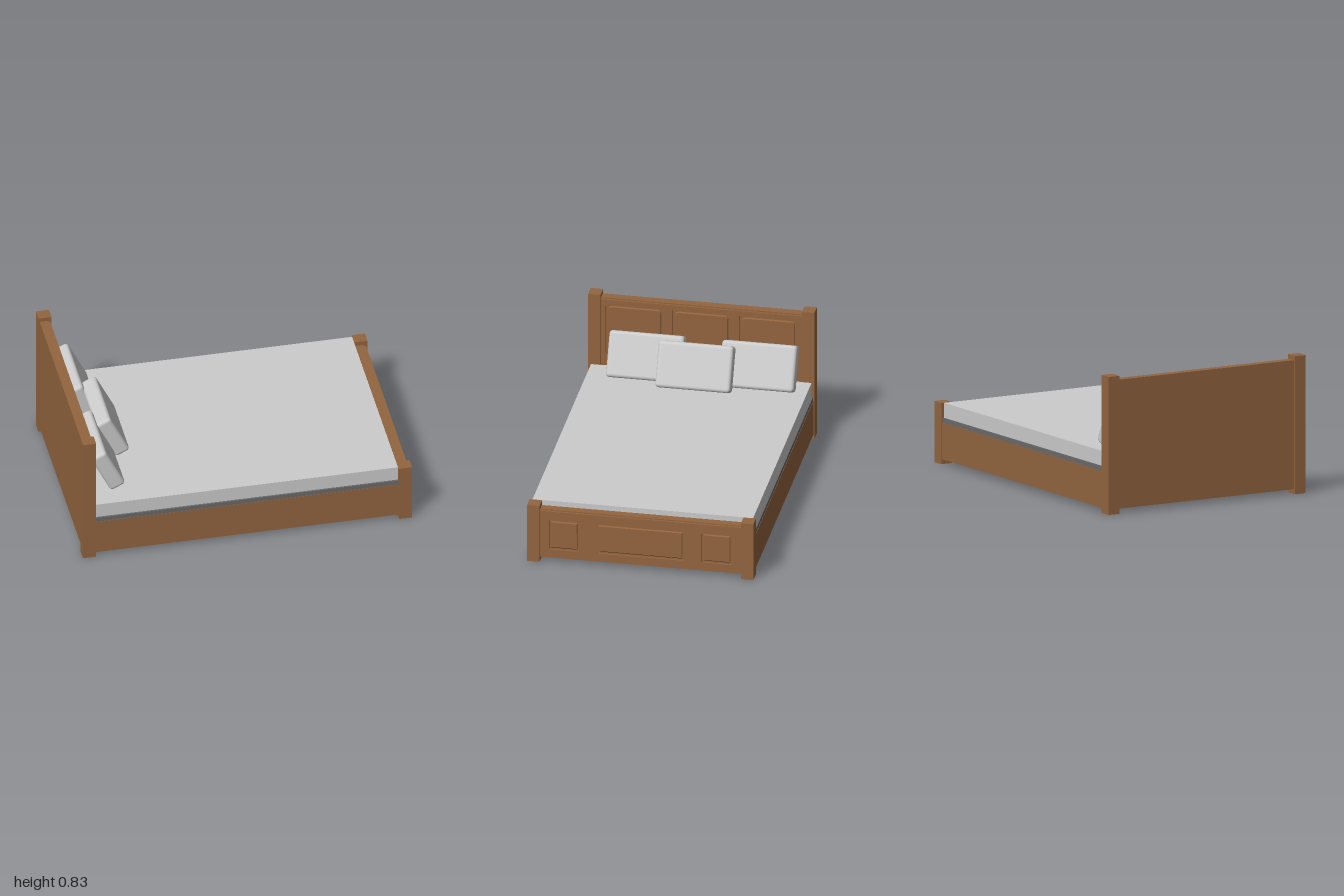
import * as THREE from 'three';
import { RoundedBoxGeometry } from 'three/addons/geometries/RoundedBoxGeometry.js';

const wood = new THREE.MeshStandardMaterial({ color: 0x93653f });
const fabric = new THREE.MeshStandardMaterial({ color: 0xcccccc });
const darkBase = new THREE.MeshStandardMaterial({ color: 0x6a6a6a });

function add(parent, name, geometry, material) {
  const mesh = new THREE.Mesh(geometry, material);
  mesh.name = name;
  parent.add(mesh);
  return mesh;
}

// Box given by its minimum and maximum on each axis
function box(parent, name, material, [x0, x1], [y0, y1], [z0, z1]) {
  const mesh = add(parent, name, new THREE.BoxGeometry(x1 - x0, y1 - y0, z1 - z0), material);
  mesh.position.set((x0 + x1) / 2, (y0 + y1) / 2, (z0 + z1) / 2);
  return mesh;
}

// Rounded rectangle drawn on either a Shape or a Path
function roundRect(path, u0, u1, v0, v1, r) {
  path.moveTo(u0 + r, v0);
  path.lineTo(u1 - r, v0);
  path.quadraticCurveTo(u1, v0, u1, v0 + r);
  path.lineTo(u1, v1 - r);
  path.quadraticCurveTo(u1, v1, u1 - r, v1);
  path.lineTo(u0 + r, v1);
  path.quadraticCurveTo(u0, v1, u0, v1 - r);
  path.lineTo(u0, v0 + r);
  path.quadraticCurveTo(u0, v0, u0 + r, v0);
  return path;
}

// Panelled board facing +x: backing, frame with openings, raised bevelled fields
function panelledBoard(name, x0, x1, top, panels, v0, v1, inset, radius) {
  const group = new THREE.Group();
  group.name = name;
  const relief = 0.012;
  const half = 0.612;
  const bottom = 0.03;
  box(group, name + 'Backing', wood, [x0, x1 - relief], [bottom, top], [-half, half]);

  const frame = new THREE.Shape();
  frame.moveTo(-half, bottom);
  frame.lineTo(half, bottom);
  frame.lineTo(half, top - 0.008);
  frame.lineTo(-half, top - 0.008);
  for (const [u0, u1] of panels) {
    frame.holes.push(roundRect(new THREE.Path(), u0, u1, v0, v1, 0.012));
  }
  const frameGeometry = new THREE.ExtrudeGeometry(frame, { depth: relief, bevelEnabled: false, curveSegments: 4 });
  add(group, name + 'Frame', frameGeometry.rotateY(Math.PI / 2), wood).position.x = x1 - relief;

  for (const [u0, u1] of panels) {
    const field = roundRect(new THREE.Shape(), u0 + inset, u1 - inset, v0 + inset, v1 - inset, radius);
    const geometry = new THREE.ExtrudeGeometry(field, {
      depth: 0.002, bevelThickness: 0.006, bevelSize: 0.006, bevelOffset: -0.006,
      bevelSegments: 1, curveSegments: 4,
    });
    add(group, name + 'Panel', geometry.rotateY(Math.PI / 2), wood).position.x = x1 - relief + 0.004;
  }
  return group;
}

// Plump cushion: rounded box thinning slightly toward its rim
function pillow(name, x, y, z) {
  const w = 0.1, h = 0.28, d = 0.455;
  const geometry = new RoundedBoxGeometry(w, h, d, 4, 0.022);
  const mesh = new THREE.Mesh(geometry, fabric);
  mesh.name = name;
  mesh.position.set(x, y, z);
  mesh.rotation.z = 0.46;
  return mesh;
}

export function createModel() {
  const bed = new THREE.Group();
  bed.name = 'bed';

  // Corner posts and side rails
  for (const s of [-1, 1]) {
    const z = [s * 0.61, s * 0.685].sort((a, b) => a - b);
    box(bed, 'headPost', wood, [-1, -0.92], [0, 0.835], z);
    box(bed, 'footPost', wood, [0.92, 1], [0, 0.37], z);
    const railZ = [s * 0.645, s * 0.68].sort((a, b) => a - b);
    box(bed, 'sideRail', wood, [-0.925, 0.925], [0.03, 0.252], railZ);
  }

  // Headboard and footboard
  bed.add(panelledBoard('headboard', -0.992, -0.928, 0.81,
    [[-0.58, -0.23], [-0.175, 0.175], [0.23, 0.58]], 0.44, 0.775, 0.014, 0.025));
  bed.add(panelledBoard('footboard', 0.928, 0.99, 0.342,
    [[-0.555, -0.37], [-0.265, 0.265], [0.37, 0.555]], 0.083, 0.28, 0.011, 0.004));

  // Base and mattress
  box(bed, 'mattressBase', darkBase, [-0.925, 0.925], [0.25, 0.28], [-0.678, 0.678]);
  box(bed, 'mattress', fabric, [-0.922, 0.918], [0.28, 0.37], [-0.668, 0.668]);

  // Two pillows on the headboard, one leaning in front
  bed.add(pillow('rearPillow', -0.815, 0.505, -0.37));
  bed.add(pillow('rearPillow', -0.815, 0.505, 0.313));
  bed.add(pillow('frontPillow', -0.722, 0.512, -0.003));
  return bed;
}
